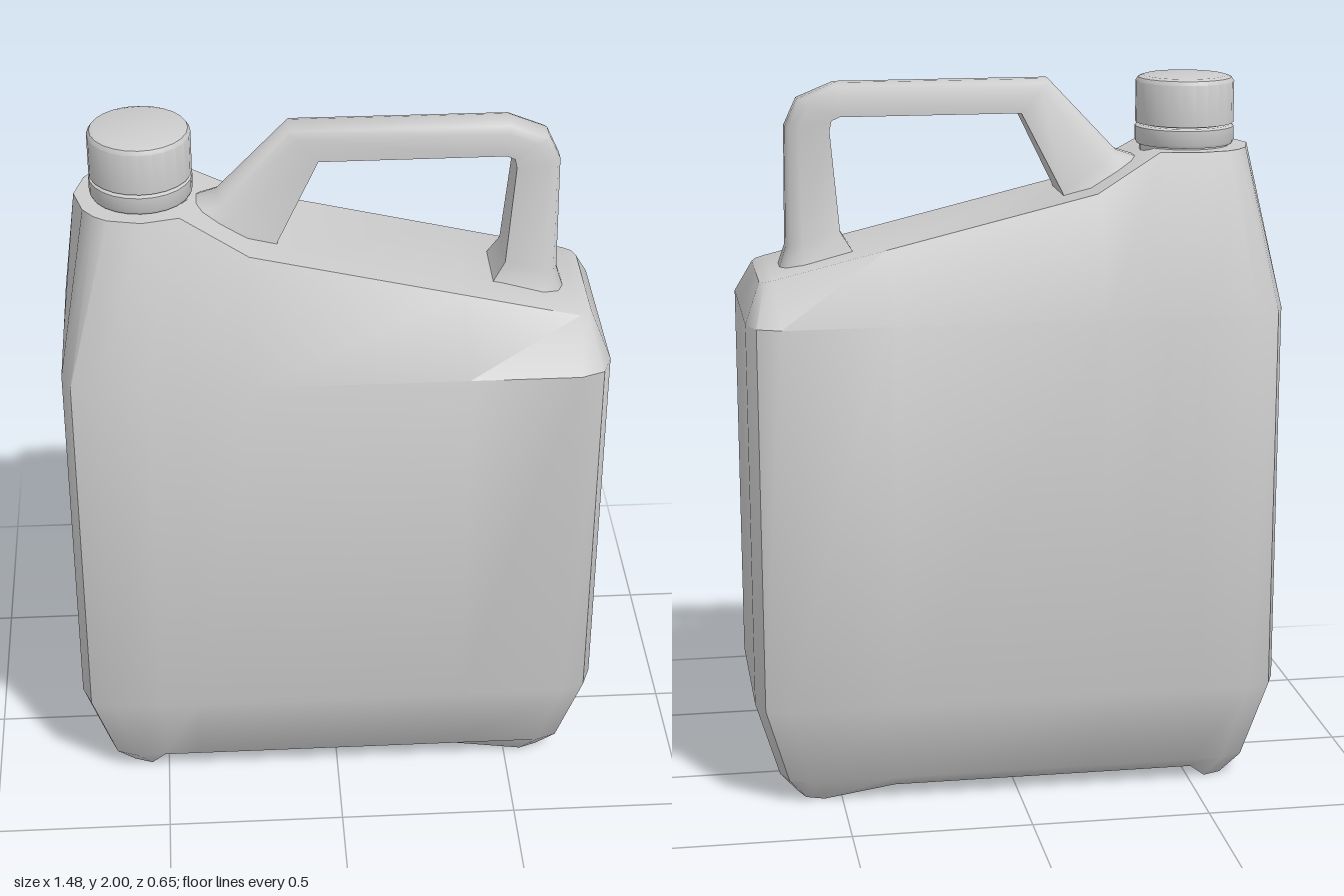
import * as THREE from 'three';
import { toCreasedNormals } from 'three/addons/utils/BufferGeometryUtils.js';

const material = new THREE.MeshStandardMaterial({ color: 0xcccccc });

// Skin closed rings of [x, y, z]; caps join each point to its mirror across z.
function loft(rings, caps = false, crease = 0.75) {
  const n = rings[0].length;
  const index = [];
  const quad = (a, b, c, d) => {
    if (a !== b && b !== c && a !== c) index.push(a, b, c);
    if (a !== c && c !== d && a !== d) index.push(a, c, d);
  };
  for (let r = 0; r < rings.length - 1; r++) {
    for (let i = 0; i < n; i++) {
      const j = (i + 1) % n;
      quad(r * n + i, r * n + j, (r + 1) * n + j, (r + 1) * n + i);
    }
  }
  if (caps) {
    const top = (rings.length - 1) * n;
    const mirror = (i) => (n - i) % n;
    for (let i = 0; i < n / 2; i++) {
      quad(top + i, top + i + 1, top + mirror(i + 1), top + mirror(i));
      quad(mirror(i), mirror(i + 1), i + 1, i);
    }
  }
  const geometry = new THREE.BufferGeometry();
  geometry.setAttribute('position', new THREE.Float32BufferAttribute(rings.flat(2), 3));
  geometry.setIndex(index);
  return toCreasedNormals(geometry, crease);
}

// Complete a half outline (z >= 0, running from -x to +x) to a closed ring.
function mirrored(half) {
  const back = half.slice(1, -1).reverse().map(([x, y, z]) => [x, y, -z]);
  return [...half, ...back];
}

// Rectangle with rounded corners; y may vary along x.
function bodyRing(X, Z, c, y) {
  const half = [
    [-X, 0], [-X, Z - c], [-X + 0.28 * c, Z - 0.28 * c], [-X + c, Z],
    [-0.51, Z], [-0.41, Z], [-0.23, Z], [0.35, Z],
    [X - c, Z], [X - 0.28 * c, Z - 0.28 * c], [X, Z - c], [X, 0],
  ];
  return mirrored(half.map(([x, z]) => [x, typeof y === 'function' ? y(x) : y, z]));
}

function lathe(points, segments = 24) {
  const profile = points.map(([r, y]) => new THREE.Vector2(r, y));
  return toCreasedNormals(new THREE.LatheGeometry(profile, segments), 0.6);
}

export function createModel() {
  const group = new THREE.Group();
  const add = (name, geometry) => {
    const mesh = new THREE.Mesh(geometry, material);
    mesh.name = name;
    group.add(mesh);
    return mesh;
  };

  // Body: raised underside between two feet, keyhole-shaped sloping shoulder
  const underside = (x) => (x > -0.53 && x < 0.4 ? 0.03 : 0);
  const shoulderY = (x) => (x < -0.4 ? 1.805 : 1.7 - 0.238 * (x + 0.23));
  const shoulder = [
    [-0.69, 0], [-0.665, 0.09], [-0.635, 0.13], [-0.6, 0.155],
    [-0.51, 0.175], [-0.41, 0.152], [-0.23, 0.185], [0.35, 0.185],
    [0.66, 0.185], [0.683, 0.177], [0.695, 0.15], [0.695, 0],
  ].map(([x, z]) => [x, shoulderY(x), z]);
  add('body', loft([
    bodyRing(0.62, 0.225, 0.07, underside),
    bodyRing(0.672, 0.272, 0.08, 0.07),
    bodyRing(0.74, 0.325, 0.09, 0.3),
    bodyRing(0.74, 0.325, 0.09, 1.38),
    mirrored(shoulder),
  ], true));

  // Handle: sections as outer x, y, inner x, y, outer and inner half widths
  const sections = [
    [-0.39, 1.77, -0.16, 1.66, 0.08, 0.09],
    [-0.31, 1.797, -0.15, 1.69, 0.07, 0.086],
    [-0.12, 1.997, -0.04, 1.907, 0.055, 0.055],
    [0.47, 1.997, 0.46, 1.907, 0.053, 0.053],
    [0.573, 1.955, 0.482, 1.897, 0.053, 0.053],
    [0.608, 1.88, 0.488, 1.87, 0.053, 0.053],
    [0.612, 1.55, 0.465, 1.595, 0.065, 0.07],
    [0.635, 1.48, 0.425, 1.53, 0.1, 0.085],
  ];
  add('handle', loft(sections.map(([ox, oy, ix, iy, wo, wi]) => {
    const at = (t, z) => [ix + (ox - ix) * t, iy + (oy - iy) * t, z];
    return [
      at(0, -wi), at(0.7, -wo), at(0.92, -wo * 0.75), at(1, -wo * 0.35),
      at(1, wo * 0.35), at(0.92, wo * 0.75), at(0.7, wo), at(0, wi),
    ];
  }), false, 0.9));

  // Neck, sealing ring and screw cap
  const neckX = -0.51;
  add('neck', lathe([[0.125, 1.78], [0.125, 1.83]])).position.x = neckX;
  add('sealRing', lathe([
    [0.11, 1.81], [0.134, 1.81], [0.138, 1.818], [0.138, 1.858], [0.13, 1.863], [0, 1.863],
  ])).position.x = neckX;
  add('cap', lathe([
    [0.12, 1.864], [0.137, 1.868], [0.137, 1.982], [0.13, 1.993], [0.115, 1.998], [0, 2],
  ])).position.x = neckX;

  return group;
}
